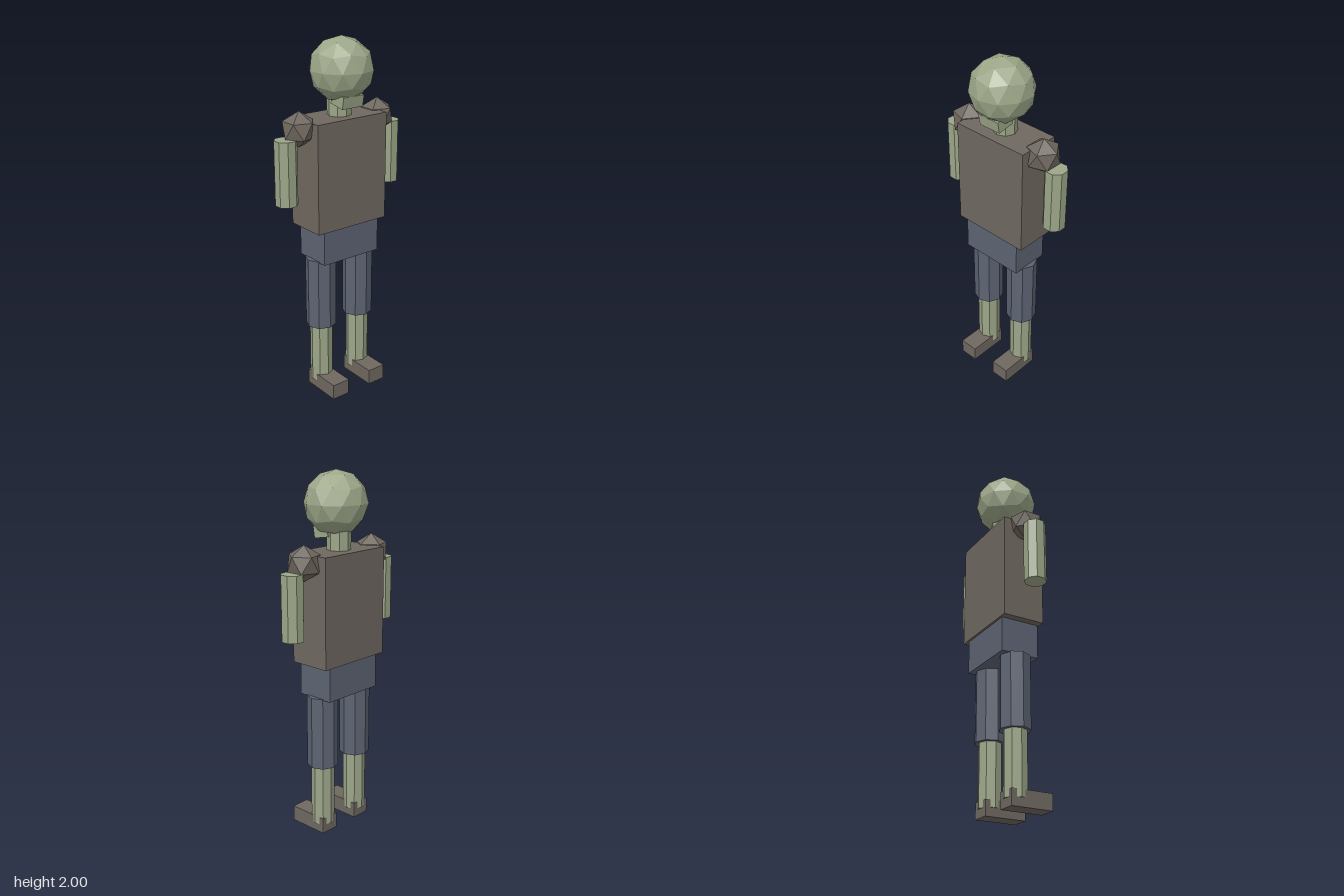
import * as THREE from 'three';

const material = (name, color) => {
  const m = new THREE.MeshStandardMaterial({ color, flatShading: true });
  m.name = name;
  return m;
};

export function createModel() {
  const skin = material('paleGreenSkin', 0x9ca688);
  const cloth = material('brownCloth', 0x6f6860);
  const denim = material('blueDenim', 0x5d6372);
  const model = new THREE.Group();
  model.name = 'figure';
  const midZ = -0.022; // the body sits slightly behind the origin

  const add = (name, geometry, mat, x, y, z) => {
    const mesh = new THREE.Mesh(geometry, mat);
    mesh.name = name;
    mesh.position.set(x, y, z);
    model.add(mesh);
    return mesh;
  };

  // box given by its width and its y and z ranges
  const box = (name, mat, x, width, y0, y1, z0, z1) =>
    add(name, new THREE.BoxGeometry(width, y1 - y0, z1 - z0), mat, x, (y0 + y1) / 2, (z0 + z1) / 2);

  // upright eight-sided limb
  const limb = (name, mat, x, radius, y0, y1, turn = 0) =>
    add(name, new THREE.CylinderGeometry(radius, radius, y1 - y0, 8).rotateY(turn), mat, x, (y0 + y1) / 2, midZ);

  // faceted ball with one corner pointing straight up
  const tilt = -Math.atan(2 / (1 + Math.sqrt(5)));
  const ball = (name, mat, radius, detail, x, y, z) =>
    add(name, new THREE.IcosahedronGeometry(radius, detail).rotateZ(tilt), mat, x, y, z);

  // head, jaw and neck
  ball('head', skin, 0.172, 1, 0, 1.828, -0.001);
  const jaw = add('jaw', new THREE.BoxGeometry(0.134, 0.064, 0.1), skin, 0, 1.679, 0.048);
  jaw.rotation.x = 0.17;
  limb('neck', skin, 0, 0.065, 1.56, 1.71);

  // body
  box('torso', cloth, 0, 0.455, 0.99, 1.585, -0.142, 0.097);
  box('hips', denim, 0, 0.37, 0.8, 0.992, -0.13, 0.087);

  // limbs, one set per side
  for (const [side, s] of [['left', 1], ['right', -1]]) {
    ball(side + 'Shoulder', cloth, 0.096, 0, s * 0.26, 1.546, midZ);
    limb(side + 'Arm', skin, s * 0.345, 0.061, 1.155, 1.505, Math.PI / 8);
    limb(side + 'Thigh', denim, s * 0.13, 0.085, 0.397, 0.805);
    limb(side + 'Shin', skin, s * 0.13, 0.064, 0.048, 0.41);
    box(side + 'Foot', cloth, s * 0.13, 0.108, 0, 0.088, -0.075, 0.162);
  }
  return model;
}
